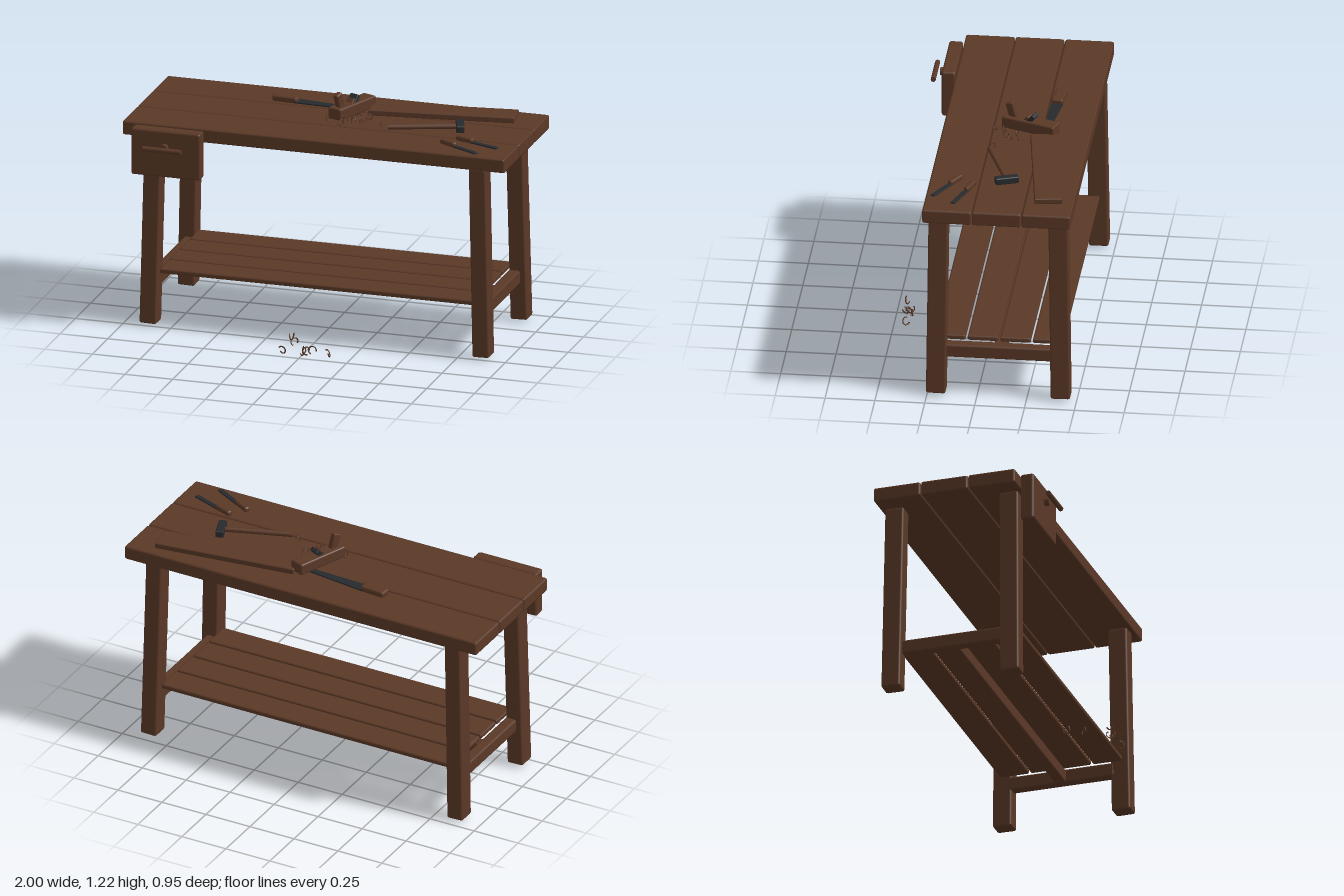
import * as THREE from 'three';
import { RoundedBoxGeometry } from 'three/addons/geometries/RoundedBoxGeometry.js';

export function createModel() {
  const model = new THREE.Group();
  model.name = 'workbench';
  const wood = new THREE.MeshStandardMaterial({ name: 'brown wood', color: 0x5a3826 });
  const steel = new THREE.MeshStandardMaterial({ name: 'dark steel', color: 0x272a2d });

  const add = (parent, name, geometry, material, x, y, z) => {
    const mesh = new THREE.Mesh(geometry, material);
    mesh.name = name;
    mesh.position.set(x, y, z);
    parent.add(mesh);
    return mesh;
  };
  // Box with small bevelled edges
  const block = (parent, name, [w, h, d], [x, y, z], material = wood, bevel = 0.01) =>
    add(parent, name, new RoundedBoxGeometry(w, h, d, 1, bevel), material, x, y, z);
  // Round bar lying along x or z
  const bar = (parent, name, r, length, axis, [x, y, z], material = wood) => {
    const g = new THREE.CylinderGeometry(r, r, length, 12);
    if (axis === 'x') g.rotateZ(Math.PI / 2);
    else g.rotateX(Math.PI / 2);
    return add(parent, name, g, material, x, y, z);
  };
  // Group for a tool lying on the bench, its local x turned toward the given angle
  const tool = (name, x, y, z, angle) => {
    const g = new THREE.Group();
    g.name = name;
    g.position.set(x, y, z);
    g.rotation.y = angle;
    model.add(g);
    return g;
  };

  // Bench top: three planks
  for (let i = 0; i < 3; i++)
    block(model, 'topPlank', [2, 0.073, 0.245], [0, 1.034, 0.141 - i * 0.249]);

  // Splayed legs and end stretchers
  for (const sx of [-1, 1]) {
    for (const front of [true, false]) {
      const leg = block(model, 'leg', [0.088, 0.987, 0.098], [sx * 0.86, 0.505, front ? 0.2 : -0.413]);
      leg.rotation.z = sx * 0.023;
      leg.rotation.x = front ? -0.011 : 0.014;
    }
    block(model, 'endStretcher', [0.06, 0.07, 0.56], [sx * 0.85, 0.236, -0.107]);
  }

  // Middle stretcher and shelf slats
  block(model, 'middleStretcher', [1.66, 0.07, 0.06], [0, 0.233, -0.11]);
  for (let i = 0; i < 4; i++)
    block(model, 'shelfSlat', [1.64, 0.026, 0.153], [0, 0.284, 0.142 - i * 0.1635], wood, 0.008);

  // Front vise
  block(model, 'viseJaw', [0.363, 0.245, 0.07], [-0.75, 0.943, 0.305], wood, 0.012);
  bar(model, 'viseScrew', 0.02, 0.245, 'z', [-0.753, 0.98, 0.243]);
  bar(model, 'viseHandle', 0.013, 0.2, 'x', [-0.752, 0.98, 0.39]);

  // Loose board
  const board = block(model, 'looseBoard', [0.74, 0.03, 0.14], [0.5, 1.086, -0.305], wood, 0.006);
  board.rotation.y = 0.138;

  // Hand plane, local x pointing to its rear handle
  const plane = tool('handPlane', 0.062, 1.07, -0.178, -1.93);
  block(plane, 'planeBody', [0.29, 0.06, 0.08], [0, 0.041, 0], wood, 0.008);
  const grip = block(plane, 'planeHandle', [0.042, 0.085, 0.03], [0.105, 0.1, 0], wood, 0.007);
  grip.rotation.z = -0.3;
  const iron = block(plane, 'planeIron', [0.022, 0.07, 0.05], [-0.005, 0.073, 0], steel, 0.004);
  iron.rotation.z = 0.7;
  const wedge = block(plane, 'planeWedge', [0.014, 0.055, 0.045], [0.022, 0.068, 0], wood, 0.004);
  wedge.rotation.z = 0.7;

  // Saw with a tapering blade
  const saw = tool('saw', -0.315, 1.07, -0.281, -0.08);
  block(saw, 'sawHandle', [0.135, 0.032, 0.06], [0, 0.016, 0], wood, 0.01);
  const bladeShape = new THREE.Shape([[0.05, -0.03], [0.42, -0.016], [0.42, 0.012], [0.05, 0.03]]
    .map(([x, y]) => new THREE.Vector2(x, y)));
  const bladeGeometry = new THREE.ExtrudeGeometry(bladeShape, { depth: 0.006, bevelEnabled: false });
  bladeGeometry.rotateX(-Math.PI / 2);
  add(saw, 'sawBlade', bladeGeometry, steel, 0, 0.004, 0);

  // Hammer
  const hammer = tool('hammer', 0.645, 1.088, -0.122, 0.346);
  bar(hammer, 'hammerHandle', 0.013, 0.36, 'x', [-0.18, 0, 0]);
  block(hammer, 'hammerHead', [0.042, 0.036, 0.12], [0, 0, 0], steel, 0.006);

  // Two chisels
  for (const [x, z, angle] of [[0.68, 0.036, -0.34], [0.622, 0.11, -0.49]]) {
    const chisel = tool('chisel', x, 1.07, z, angle);
    block(chisel, 'chiselHandle', [0.1, 0.027, 0.028], [0.05, 0.014, 0], wood, 0.009);
    block(chisel, 'chiselBlade', [0.16, 0.008, 0.024], [0.172, 0.007, 0], steel, 0.002);
  }

  // Curled wood shavings on the bench and floor
  const curl = new THREE.CatmullRomCurve3(Array.from({ length: 9 }, (_, i) => {
    const a = -0.6 + (i / 8) * 4.9;
    return new THREE.Vector3(Math.cos(a) * 0.019, Math.sin(a) * 0.019, (i / 8 - 0.5) * 0.016);
  }));
  const curlGeometry = new THREE.TubeGeometry(curl, 14, 0.0035, 4);
  const spots = [
    [-0.08, 0, 0.32], [-0.1, 0, 0.46], [0, 0, 0.43], [0.01, 0, 0.455], [0.02, 0, 0.44],
    [0.045, 0, 0.42], [0.135, 0, 0.44], [-0.12, 0, 0.24],
    [0.06, 1.07, 0], [0.07, 1.07, -0.04], [0.11, 1.07, -0.05], [0.14, 1.07, -0.065],
    [0.155, 1.07, -0.085], [0.17, 1.07, -0.125], [0.12, 1.07, -0.115],
    [0.265, 1.07, -0.01], [-0.02, 1.07, -0.045]];
  spots.forEach(([x, y, z], i) => {
    const shaving = add(model, 'shaving', curlGeometry, wood, x, y + 0.022, z);
    shaving.rotation.set(0, i * 2.4 + 0.5, i * 1.3, 'YXZ');
    shaving.scale.setScalar(y > 0 ? 0.75 : 1);
    if (y > 0) shaving.position.y -= 0.005;
  });

  return model;
}
